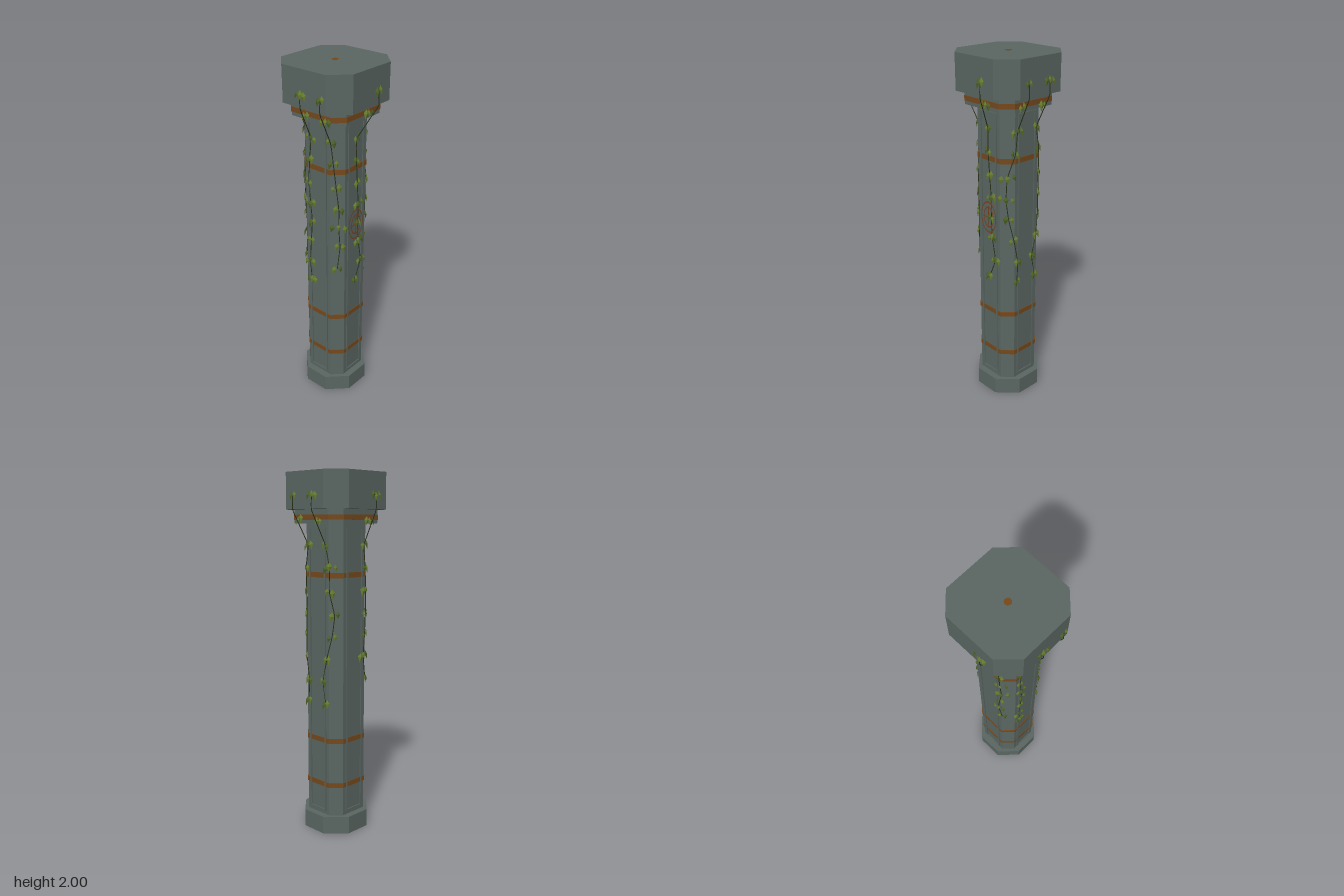
import * as THREE from 'three';

const mat = (name, color, side = THREE.FrontSide) => {
  const m = new THREE.MeshStandardMaterial({ color, side, flatShading: true });
  m.name = name;
  return m;
};

// Corner points of a square with chamfered corners: half width h, half flat f
const octagon = (h, f) => [[h, -f], [h, f], [f, h], [-f, h], [-h, f], [-h, -f], [-f, -h], [f, -h]]
  .map(([x, y]) => new THREE.Vector2(x, y));

// Upright octagonal prism, hollow when a wall thickness is given
function prism(name, h, f, y0, y1, material, wall = 0) {
  const shape = new THREE.Shape(octagon(h, f));
  if (wall) shape.holes.push(new THREE.Path(octagon(h - wall, f - wall * 0.414)));
  const geo = new THREE.ExtrudeGeometry(shape, { depth: y1 - y0, bevelEnabled: false });
  geo.rotateX(-Math.PI / 2).translate(0, y0, 0);
  const mesh = new THREE.Mesh(geo, material);
  mesh.name = name;
  return mesh;
}

function box(name, w, h, d, x, y, z, material) {
  const mesh = new THREE.Mesh(new THREE.BoxGeometry(w, h, d), material);
  mesh.position.set(x, y, z);
  mesh.name = name;
  return mesh;
}

// Distance from the axis to the column face at height y and sideways offset u
function surfaceDepth(u, y) {
  const [h, f] = y > 1.79 ? [0.234, 0.142] : y > 1.72 ? [0.188, 0.13] : [0.142, 0.085];
  return h - Math.max(0, Math.abs(u) - f);
}

// Folded diamond leaf hanging from its origin, ridge towards +z
function leafGeometry() {
  const geo = new THREE.BufferGeometry();
  geo.setAttribute('position', new THREE.Float32BufferAttribute([
    0, 0.022, 0, -0.014, 0.002, 0.001, 0, -0.002, 0.009,
    0.014, 0.002, 0.001, 0, -0.028, 0.004], 3));
  geo.setIndex([0, 1, 2, 0, 2, 3, 1, 4, 2, 2, 4, 3]);
  const flat = geo.toNonIndexed();
  flat.computeVertexNormals();
  return flat;
}

// Small seeded number generator
function seeded(seed) {
  return () => (seed = (seed * 16807) % 2147483647) / 2147483647;
}

// Leaf positions down each vine, as sideways offsets at the shared heights
const HEIGHTS = [1.875, 1.75, 1.62, 1.5, 1.37, 1.245, 1.13, 1.01, 0.875, 0.755];
const VINES = [
  { turn: 0, u: [0.05, 0.035, 0, 0, 0.01, 0.02, 0.02, 0.025, 0.05, 0] },
  { turn: Math.PI / 2, u: [-0.085, -0.085, -0.07, -0.085, -0.115, -0.12, -0.11, -0.09, -0.065, -0.07] },
  { turn: Math.PI / 2, u: [0.06, 0.06, 0.065, 0.09, 0.09, 0.11, 0.1, 0.075, 0.045, 0.065] },
  { turn: Math.PI, u: [0.06, 0.06, 0.07, 0.08, 0.085, 0.09, 0.08, 0.07, 0.09] },
  { turn: -Math.PI / 2, u: [-0.02, -0.03, -0.04, -0.05, -0.06, -0.05, -0.04, -0.05, -0.06, -0.05] },
  { turn: -Math.PI / 2, u: [0.11, 0.1, 0.09, 0.1, 0.11, 0.12, 0.12, 0.125, 0.115] },
];

export function createModel() {
  const stone = mat('grey green stone', 0x5a6662);
  const rust = mat('rusty metal', 0x75491c);
  const paint = mat('red brown paint', 0x7a4426, THREE.DoubleSide);
  const stemGreen = mat('dark stem green', 0x2b331c);
  const leafGreen = mat('leaf green', 0x64792d, THREE.DoubleSide);
  const leafDark = mat('deep leaf green', 0x4c6026, THREE.DoubleSide);

  const model = new THREE.Group();
  model.name = 'overgrownPillar';

  // Stone body, open underneath
  model.add(
    prism('baseWall', 0.178, 0.075, 0, 0.09, stone, 0.008),
    prism('baseTop', 0.178, 0.075, 0.09, 0.1, stone, 0.05),
    prism('shaft', 0.14, 0.084, 0.09, 1.74, stone, 0.012),
    prism('neck', 0.185, 0.13, 1.73, 1.81, stone),
    prism('capital', 0.234, 0.142, 1.805, 1.999, stone));

  // Metal bands round the shaft and neck
  for (const y of [0.28, 0.54, 1.46])
    model.add(prism('shaftBand', 0.1435, 0.0855, y - 0.014, y + 0.014, rust, 0.006));
  model.add(prism('neckBand', 0.188, 0.131, 1.75, 1.777, rust, 0.006));

  // Rusty plate on top
  const plate = new THREE.Mesh(new THREE.CylinderGeometry(0.018, 0.018, 0.004, 16), rust);
  plate.position.y = 1.998;
  plate.name = 'topPlate';
  model.add(plate);

  // Raised rectangular frame on each broad face
  for (let i = 0; i < 4; i++) {
    const frame = new THREE.Group();
    frame.name = 'panelFrame';
    for (const s of [-1, 1]) {
      frame.add(box('frameSide', 0.01, 1.59, 0.01, s * 0.058, 0.915, 0.141, stone));
      frame.add(box('frameEnd', 0.106, 0.01, 0.01, 0, 0.915 + s * 0.79, 0.141, stone));
    }
    frame.rotation.y = i * Math.PI / 2;
    model.add(frame);
  }

  // Painted oval rings and cross on the front
  const emblem = new THREE.Group();
  emblem.name = 'paintedRings';
  for (const r of [0.06, 0.04]) {
    const ring = new THREE.Mesh(new THREE.RingGeometry(r - 0.006, r, 32), paint);
    ring.scale.y = 1.55;
    ring.name = 'ovalRing';
    emblem.add(ring);
  }
  emblem.add(box('crossUpright', 0.005, 0.13, 0.002, 0, 0, 0, paint));
  emblem.add(box('crossBar', 0.09, 0.006, 0.002, 0, 0, 0, paint));
  emblem.position.set(0, 1.122, 0.1475);
  model.add(emblem);

  // Climbing vines with clusters of leaves
  const random = seeded(41);
  const leafGeo = leafGeometry();
  for (const { turn, u } of VINES) {
    const vine = new THREE.Group();
    vine.name = 'vine';
    const path = [];
    u.forEach((x, i) => {
      const y = HEIGHTS[i];
      const depth = surfaceDepth(x, y) + 0.003;
      if (i === 1) path.push(new THREE.Vector3(u[0], 1.8, surfaceDepth(u[0], 1.8) + 0.004));
      else path.push(new THREE.Vector3(x, y, depth));

      const tilt = Math.abs(x) > 0.085 && y < 1.72 ? Math.sign(x) * Math.PI / 4 : 0;
      const count = random() > 0.55 ? 3 : 2;
      for (let k = 0; k < count; k++) {
        const side = k - (count - 1) / 2;
        const leaf = new THREE.Mesh(leafGeo, (i + k) % 3 ? leafGreen : leafDark);
        const lx = x + side * 0.024;
        leaf.position.set(lx, y + (random() - 0.5) * 0.02, surfaceDepth(lx, y) + 0.004);
        leaf.rotation.set(-0.12, tilt + side * 0.4, side * 0.25);
        leaf.scale.setScalar(0.8 + random() * 0.35);
        leaf.name = 'leaf';
        vine.add(leaf);
      }
    });
    const curve = new THREE.CatmullRomCurve3(path, false, 'catmullrom', 0.15);
    const stem = new THREE.Mesh(new THREE.TubeGeometry(curve, 48, 0.0025, 5), stemGreen);
    stem.name = 'stem';
    vine.add(stem);
    vine.rotation.y = turn;
    model.add(vine);
  }
  return model;
}
